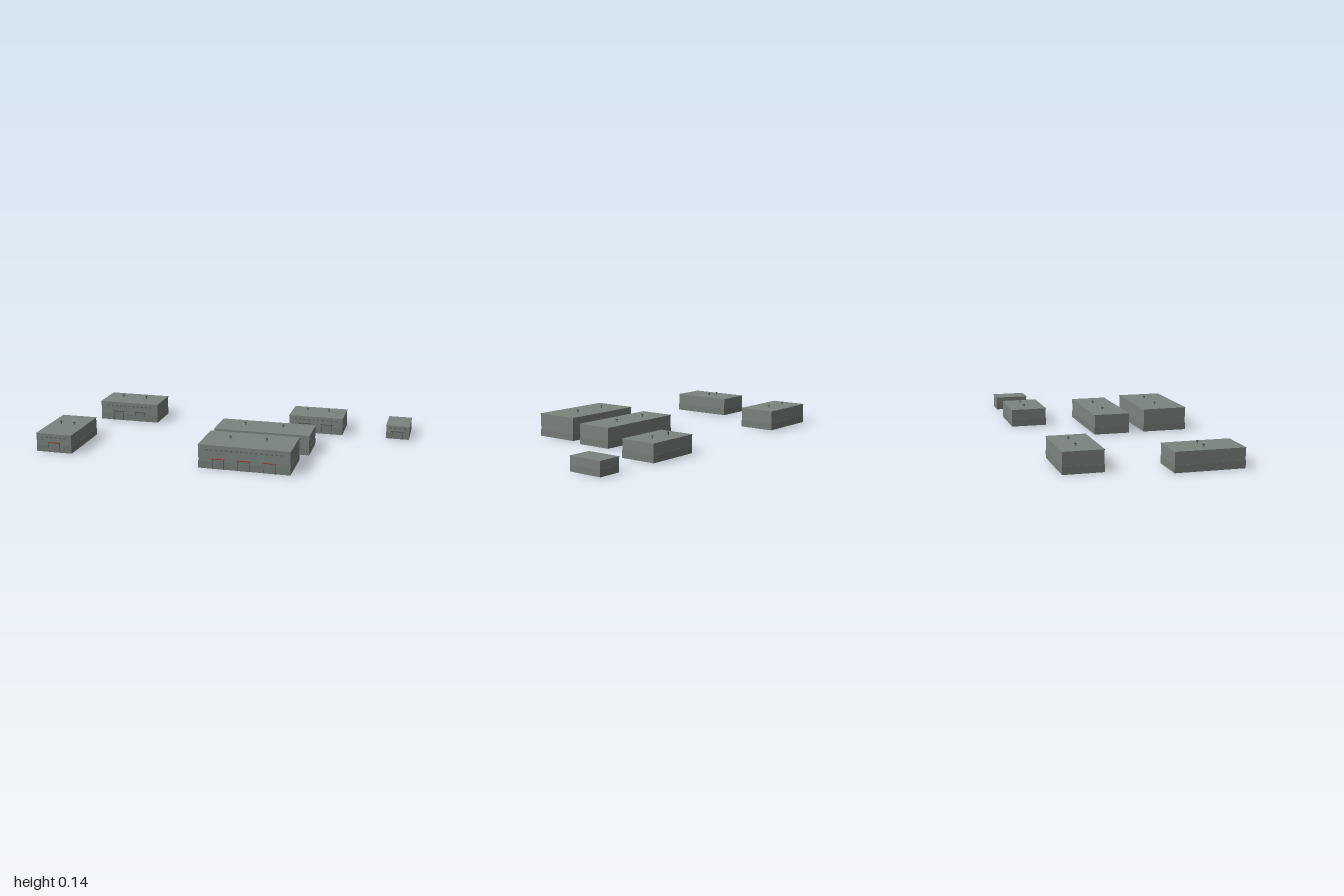
import * as THREE from 'three';

const mat = (name, color) => {
  const m = new THREE.MeshStandardMaterial({ color });
  m.name = name;
  return m;
};

export function createModel() {
  const wall = mat('wall grey', 0x7c847f);
  const plinth = mat('plinth grey', 0x767e79);
  const trim = mat('dark trim', 0x4a504d);
  const pane = mat('window grey', 0x626966);
  const red = mat('awning red', 0x9a3a2c);

  const group = new THREE.Group();
  group.name = 'buildings';

  const box = (parent, name, m, w, h, d, x, y, z) => {
    const mesh = new THREE.Mesh(new THREE.BoxGeometry(w, h, d), m);
    mesh.name = name;
    mesh.position.set(x, y, z);
    parent.add(mesh);
  };
  const pipe = (parent, name, m, r, h, x, y, z) => {
    const mesh = new THREE.Mesh(new THREE.CylinderGeometry(r, r, h, 12), m);
    mesh.name = name;
    mesh.position.set(x, y, z);
    parent.add(mesh);
  };

  // x0, x1, z0, z1: plan; h: roof height; doors and vents: x offsets from the middle
  const buildings = [
    { name: 'rearLeftHall', x0: -0.888, x1: -0.52, z0: -0.457, z1: -0.245, h: 0.113, doors: [-0.07, 0.07], vents: [-0.08, 0.07], ventZ: -0.365 },
    { name: 'sideHall', x0: -1, x1: -0.79, z0: 0.068, z1: 0.437, h: 0.105, doors: [0], vents: [-0.043, 0.038], ventZ: 0.237, awning: red },
    { name: 'middleHall', x0: -0.055, x1: 0.488, z0: -0.072, z1: 0.135, h: 0.113, doors: [-0.14, 0, 0.14], vents: [-0.118, 0.1], ventZ: 0.016 },
    { name: 'frontHall', x0: -0.05, x1: 0.45, z0: 0.222, z1: 0.477, h: 0.13, doors: [-0.14, 0, 0.14], vents: [-0.108, 0.092], ventZ: 0.335, awning: red },
    { name: 'rearRightHall', x0: 0.293, x1: 0.613, z0: -0.485, z1: -0.278, h: 0.1, doors: [-0.065, 0.065], vents: [-0.068, 0.06], ventZ: -0.395 },
    { name: 'shed', x0: 0.865, x1: 1, z0: -0.482, z1: -0.286, h: 0.078, doors: [0], vents: [], ventZ: 0 },
  ];

  for (const b of buildings) {
    const g = new THREE.Group();
    g.name = b.name;
    group.add(g);
    const w = b.x1 - b.x0, d = b.z1 - b.z0;
    const cx = (b.x0 + b.x1) / 2, cz = (b.z0 + b.z1) / 2;
    const ph = b.h < 0.09 ? 0.034 : 0.04;

    // Body with a slightly wider plinth and a thin flat roof
    box(g, 'walls', wall, w - 0.004, b.h - 0.004, d - 0.004, cx, (b.h - 0.004) / 2, cz);
    box(g, 'plinth', plinth, w - 0.002, ph, d - 0.002, cx, ph / 2, cz);
    box(g, 'roof', wall, w, 0.004, d, cx, b.h - 0.002, cz);

    // Entrances: gate panel, side frames and a small awning
    const front = b.z1 - 0.001;
    const top = b.h < 0.09 ? 0.042 : 0.054;
    for (const dx of b.doors) {
      const x = cx + dx;
      box(g, 'gate', plinth, 0.06, top, 0.002, x, top / 2, front);
      for (const s of [-1, 1]) box(g, 'gateFrame', trim, 0.002, top, 0.003, x + s * 0.031, top / 2, front);
      box(g, 'awning', b.awning || trim, 0.074, 0.003, 0.005, x, top + 0.0015, front + 0.001);
    }

    // Row of small windows under the eaves
    const n = Math.round(w / 0.03) - 1;
    for (let i = 0; i < n; i++) {
      box(g, 'window', pane, 0.014, 0.007, 0.002, cx + (i - (n - 1) / 2) * 0.027, b.h * 0.8, b.z1 - 0.0022);
    }

    // Roof vents with caps
    for (const dx of b.vents) {
      pipe(g, 'ventPipe', wall, 0.0045, 0.014, cx + dx, b.h + 0.006, b.ventZ);
      pipe(g, 'ventCap', trim, 0.0068, 0.003, cx + dx, b.h + 0.0135, b.ventZ);
    }
  }
  return group;
}
